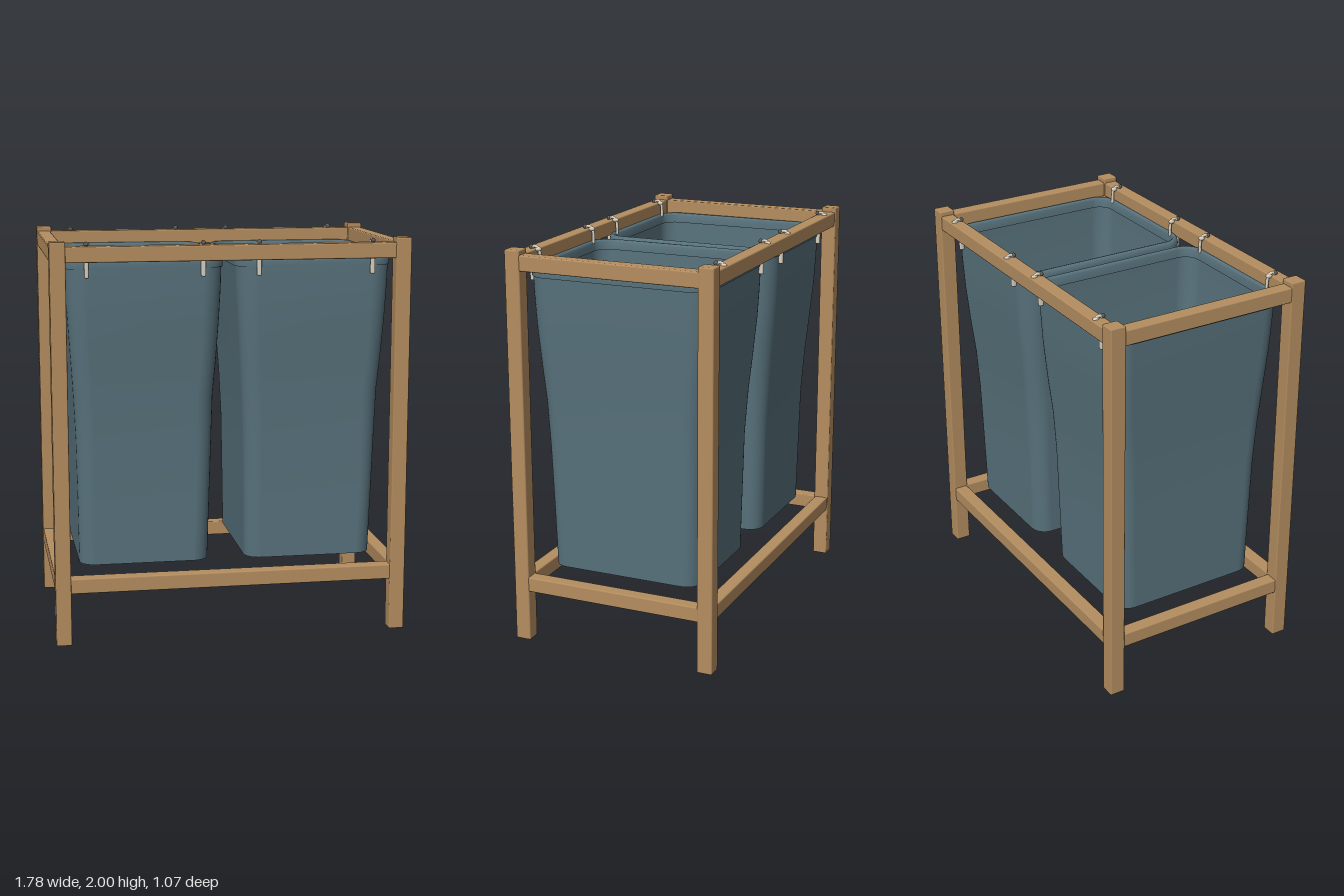
import * as THREE from 'three';
import { RoundedBoxGeometry } from 'three/addons/geometries/RoundedBoxGeometry.js';

const wood = new THREE.MeshStandardMaterial({ color: 0xb58e60 });
const cloth = new THREE.MeshStandardMaterial({ color: 0x58727c });
const ivory = new THREE.MeshStandardMaterial({ color: 0xd8d0c0 });
const dark = new THREE.MeshStandardMaterial({ color: 0x5c5a56 });

function add(parent, name, geometry, material, x = 0, y = 0, z = 0) {
  const mesh = new THREE.Mesh(geometry, material);
  mesh.name = name;
  mesh.position.set(x, y, z);
  parent.add(mesh);
  return mesh;
}

const bar = (w, h, d) => new RoundedBoxGeometry(w, h, d, 1, 0.007);

// Bag wall: [y, left, right, back, front, corner radius], bottom to top
const LEVELS = [
  [0.37, -0.328, 0.325, -0.39, 0.395, 0.08],
  [0.70, -0.332, 0.335, -0.397, 0.402, 0.08],
  [1.00, -0.337, 0.344, -0.405, 0.412, 0.085],
  [1.22, -0.347, 0.35, -0.42, 0.425, 0.09],
  [1.40, -0.358, 0.365, -0.437, 0.438, 0.09],
  [1.60, -0.371, 0.378, -0.455, 0.455, 0.095],
  [1.75, -0.38, 0.386, -0.463, 0.463, 0.1],
  [1.86, -0.385, 0.389, -0.466, 0.466, 0.1],
];

// Rounded rectangle at one height, shrunk by an inset
function ring([y, x0, x1, z0, z1, r], inset = 0, newY = y) {
  const pts = [];
  const rad = Math.max(r - inset, 0.01);
  const corners = [
    [x1 - r, z1 - r], [x0 + r, z1 - r], [x0 + r, z0 + r], [x1 - r, z0 + r],
  ];
  corners.forEach(([cx, cz], q) => {
    for (let k = 0; k <= 8; k++) {
      const a = (q + k / 8) * Math.PI / 2;
      pts.push([cx + rad * Math.cos(a), newY, cz + rad * Math.sin(a)]);
    }
  });
  return pts;
}

function loft(rings) {
  const n = rings[0].length, index = [];
  for (let i = 0; i < rings.length - 1; i++) {
    for (let j = 0; j < n; j++) {
      const a = i * n + j, b = i * n + (j + 1) % n;
      index.push(a, a + n, b, b, a + n, b + n);
    }
  }
  const g = new THREE.BufferGeometry();
  g.setAttribute('position', new THREE.Float32BufferAttribute(rings.flat(2), 3));
  g.setIndex(index);
  g.computeVertexNormals();
  return g;
}

// Outside wall, folded hem, inside wall and floor in one skin;
// doubled rings keep an edge sharp
function bagGeometry() {
  const base = LEVELS[0], top = LEVELS[LEVELS.length - 1], t = 0.014;
  const point = y => base && ring(base).map(() => [0, y, 0]);
  const outer = LEVELS.map(l => ring(l));
  const hem = [
    ring(top), ring(top, -0.006), ring(top, -0.006), ring(top, -0.007, 1.885),
    ring(top, -0.003, 1.902), ring(top, 0.006, 1.912), ring(top, 0.016, 1.91),
    ring(top, 0.024, 1.9), ring(top, 0.026, 1.86), ring(top, 0.026, 1.86), ring(top, t, 1.859),
  ];
  const inner = LEVELS.slice(1).reverse().map(l => ring(l, t));
  const floor = ring(base, t, 0.385);
  return loft([point(0.37), ring(base), ...outer, ...hem, ...inner, floor, floor, point(0.385)]);
}

// Hook: strap outside the bag, bent over the top to a short inner leg
function makeClip(x, z) {
  const clip = new THREE.Group();
  clip.name = 'clip';
  clip.position.set(x, 0, z);
  add(clip, 'clipStrap', bar(0.022, 0.155, 0.024), ivory, 0, 1.8975, 0);
  const path = new THREE.CatmullRomCurve3([
    [0.004, 1.965], [-0.004, 1.985], [-0.02, 1.988], [-0.036, 1.975], [-0.042, 1.94], [-0.042, 1.9],
  ].map(([pz, py]) => new THREE.Vector3(0, py, pz)));
  add(clip, 'clipHook', new THREE.TubeGeometry(path, 16, 0.008, 8), ivory);
  const pad = add(clip, 'clipPad', new THREE.SphereGeometry(0.012, 12, 8), ivory, 0, 1.975, -0.032);
  pad.scale.set(1, 1, 1.5);
  add(clip, 'clipPin', new THREE.SphereGeometry(0.012, 12, 8), dark, 0, 1.984, 0.004);
  return clip;
}

export function createModel() {
  const model = new THREE.Group();
  model.name = 'laundrySorter';

  // Corner posts
  const frame = new THREE.Group();
  frame.name = 'frame';
  model.add(frame);
  for (const sx of [-1, 1]) {
    for (const sz of [-1, 1]) {
      add(frame, 'post', bar(0.078, 2, 0.08), wood, sx * 0.849, 1, sz * 0.497);
    }
  }
  // Upper and lower rails
  for (const y of [1.9375, 0.3025]) {
    for (const s of [-1, 1]) {
      add(frame, 'longRail', bar(1.64, 0.077, 0.07), wood, 0, y, s * 0.496);
      add(frame, 'sideRail', bar(0.07, 0.077, 0.93), wood, s * 0.85, y, 0);
    }
  }

  // Two hanging bags with four clips each
  const bag = bagGeometry();
  for (const x of [-0.423, 0.42]) {
    add(model, 'bag', bag, cloth, x, 0, 0);
    for (const dx of [-0.285, 0.283]) {
      model.add(makeClip(x + dx, 0.486), makeClip(x + dx, -0.475));
    }
  }
  return model;
}
